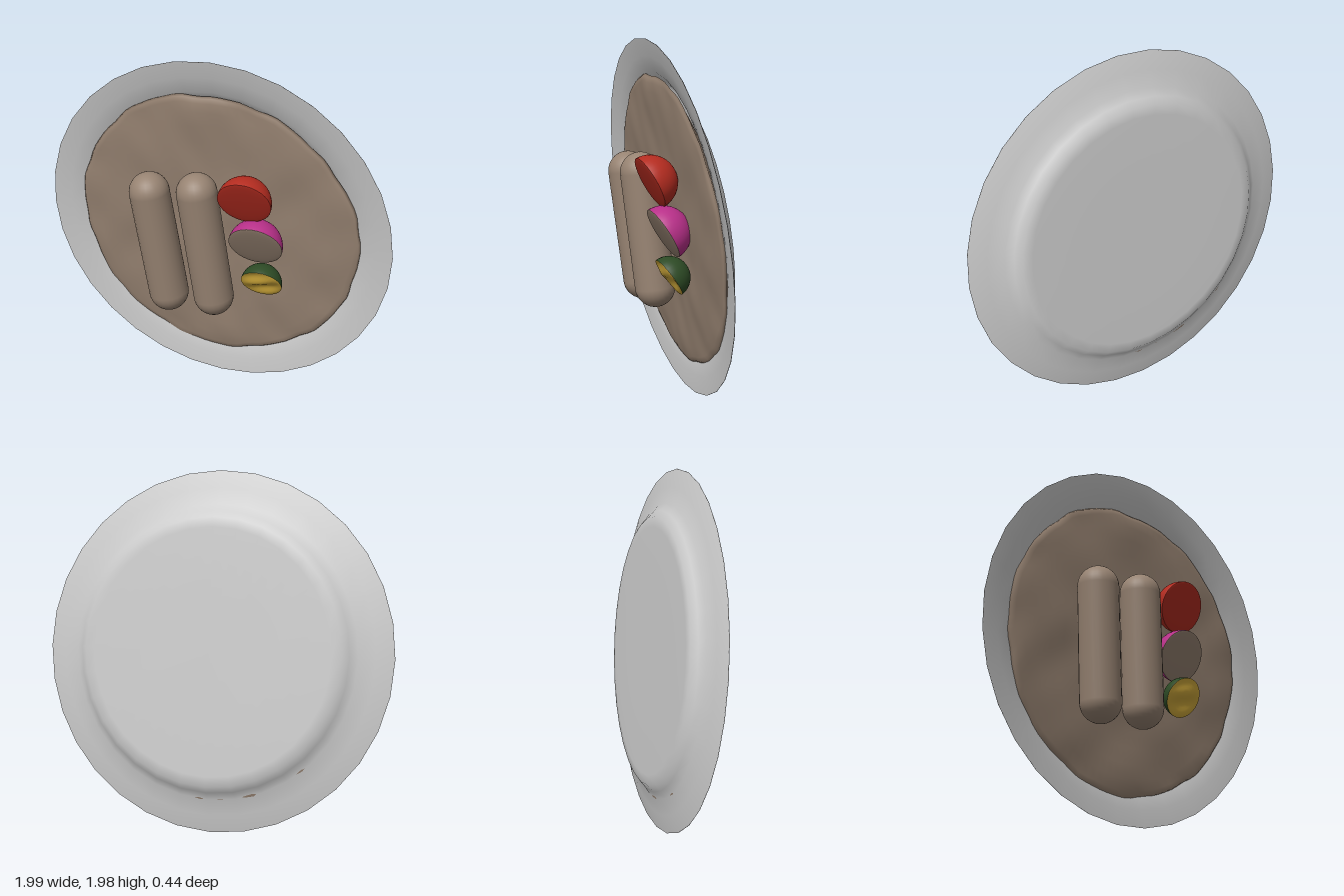
import * as THREE from 'three';
import { mergeVertices } from 'three/addons/utils/BufferGeometryUtils.js';

const mat = (name, color) => {
  const m = new THREE.MeshStandardMaterial({ color });
  m.name = name;
  return m;
};

// Lathe whose axis points along +z
const latheZ = (points, segments) =>
  new THREE.LatheGeometry(points.map(([r, h]) => new THREE.Vector2(r, h)), segments).rotateX(Math.PI / 2);

// Move every vertex by a rule, then smooth across the seam
function reshape(geometry, rule) {
  geometry.deleteAttribute('uv');
  geometry.deleteAttribute('normal');
  const pos = geometry.attributes.position;
  const v = new THREE.Vector3();
  for (let i = 0; i < pos.count; i++) {
    rule(v.fromBufferAttribute(pos, i));
    pos.setXYZ(i, v.x, v.y, v.z);
  }
  const merged = mergeVertices(geometry, 1e-4);
  merged.computeVertexNormals();
  return merged;
}

export function createModel() {
  const model = new THREE.Group();
  model.name = 'plateOfFood';
  const grey = mat('plate grey', 0xcccccc);
  const brown = mat('food brown', 0x978372);
  const red = mat('red', 0xb42c20);
  const magenta = mat('magenta', 0xb83089);
  const green = mat('dark green', 0x2d4a25);
  const yellow = mat('yellow', 0xd6ae3c);

  const add = (parent, name, geometry, material) => {
    const mesh = new THREE.Mesh(geometry, material);
    mesh.name = name;
    parent.add(mesh);
    return mesh;
  };

  // Plate and mash share the tilt
  const dish = new THREE.Group();
  dish.name = 'dish';
  dish.position.set(0, 0.99, -0.025);
  dish.rotation.set(0.12, -0.06, 0);
  model.add(dish);

  // Plate: back from centre to rim, then the hollow front
  add(dish, 'plate', latheZ([
    [0, -0.115], [0.4, -0.115], [0.68, -0.113], [0.735, -0.108], [0.77, -0.078], [0.81, -0.05],
    [0.9, -0.028], [0.997, -0.002], [0.997, 0.002], [0.9, -0.016], [0.81, -0.036],
    [0.76, -0.07], [0.72, -0.095], [0, -0.1],
  ], 32), grey);

  // Mash: ragged-edged slab with a lumpy top
  const mash = latheZ([
    [0, -0.09], [0.7, -0.09], [0.79, -0.045], [0.815, -0.035], [0.805, -0.024], [0.78, -0.019],
    [0.72, -0.014], [0.64, -0.013], [0.55, -0.012], [0.46, -0.012], [0.37, -0.012],
    [0.28, -0.01], [0.19, -0.01], [0.1, -0.01], [0, -0.01],
  ], 96);
  add(dish, 'mash', reshape(mash, (v) => {
    const a = Math.atan2(v.y, v.x);
    const r = Math.hypot(v.x, v.y);
    if (r > 0.75) {
      const k = 1 + 0.008 * Math.sin(3 * a + 1) + 0.006 * Math.sin(7 * a) + 0.005 * Math.sin(17 * a + 2)
        + 0.003 * Math.sin(29 * a);
      v.x *= k;
      v.y *= k;
    }
    if (v.z > -0.022) {
      v.z += 0.006 * Math.sin(9 * v.x + 3 * v.y) * Math.sin(11 * v.y - 2 * v.x)
        + 0.003 * Math.sin(21 * v.x + 1) * Math.sin(17 * v.y + 6 * v.x);
    }
    v.x -= 0.01;
    v.y -= 0.02;
  }), brown);

  // Two sausages
  const up = new THREE.Vector3(0, 1, 0);
  [
    [[-0.355, 1.2, 0.065], [-0.272, 0.57, 0.008]],
    [[-0.07, 1.245, 0.097], [0.008, 0.605, 0.042]],
  ].forEach(([top, bottom], i) => {
    const a = new THREE.Vector3(...top);
    const b = new THREE.Vector3(...bottom);
    const axis = a.clone().sub(b);
    const sausage = add(model, `sausage${i + 1}`, new THREE.CapsuleGeometry(0.113, axis.length(), 10, 24), brown);
    sausage.position.copy(a).add(b).multiplyScalar(0.5);
    sausage.quaternion.setFromUnitVectors(up, axis.normalize());
  });

  // Halved fruits: round skin behind, cut face turned forward and down
  const halfFruit = (name, r, position, tilt, skin, flesh, wavy) => {
    const fruit = new THREE.Group();
    fruit.name = name;
    fruit.position.set(...position);
    fruit.rotation.x = tilt;
    model.add(fruit);
    const dome = new THREE.SphereGeometry(r, 32, 12, 0, Math.PI * 2, Math.PI / 2, Math.PI / 2);
    add(fruit, name + 'Skin', dome.rotateX(Math.PI / 2), skin);
    let cut = new THREE.SphereGeometry(r, 32, 12, 0, Math.PI * 2, 0, Math.PI / 2);
    cut.scale(1, 0.06, 1).rotateX(Math.PI / 2);
    if (wavy) {
      cut = reshape(cut, (v) => {
        const inner = 1 - (v.x * v.x + v.y * v.y) / (r * r);
        v.z += 0.014 * inner * Math.sin((v.y - 0.4 * v.x) * 40);
      });
    }
    add(fruit, name + 'Cut', cut, flesh);
  };
  halfFruit('redFruit', 0.148, [0.21, 1.245, 0.15], 0.45, red, red, false);
  halfFruit('magentaFruit', 0.15, [0.26, 0.975, 0.095], 0.5, magenta, brown, false);
  halfFruit('greenFruit', 0.115, [0.292, 0.74, 0.075], 0.57, green, yellow, true);

  return model;
}
